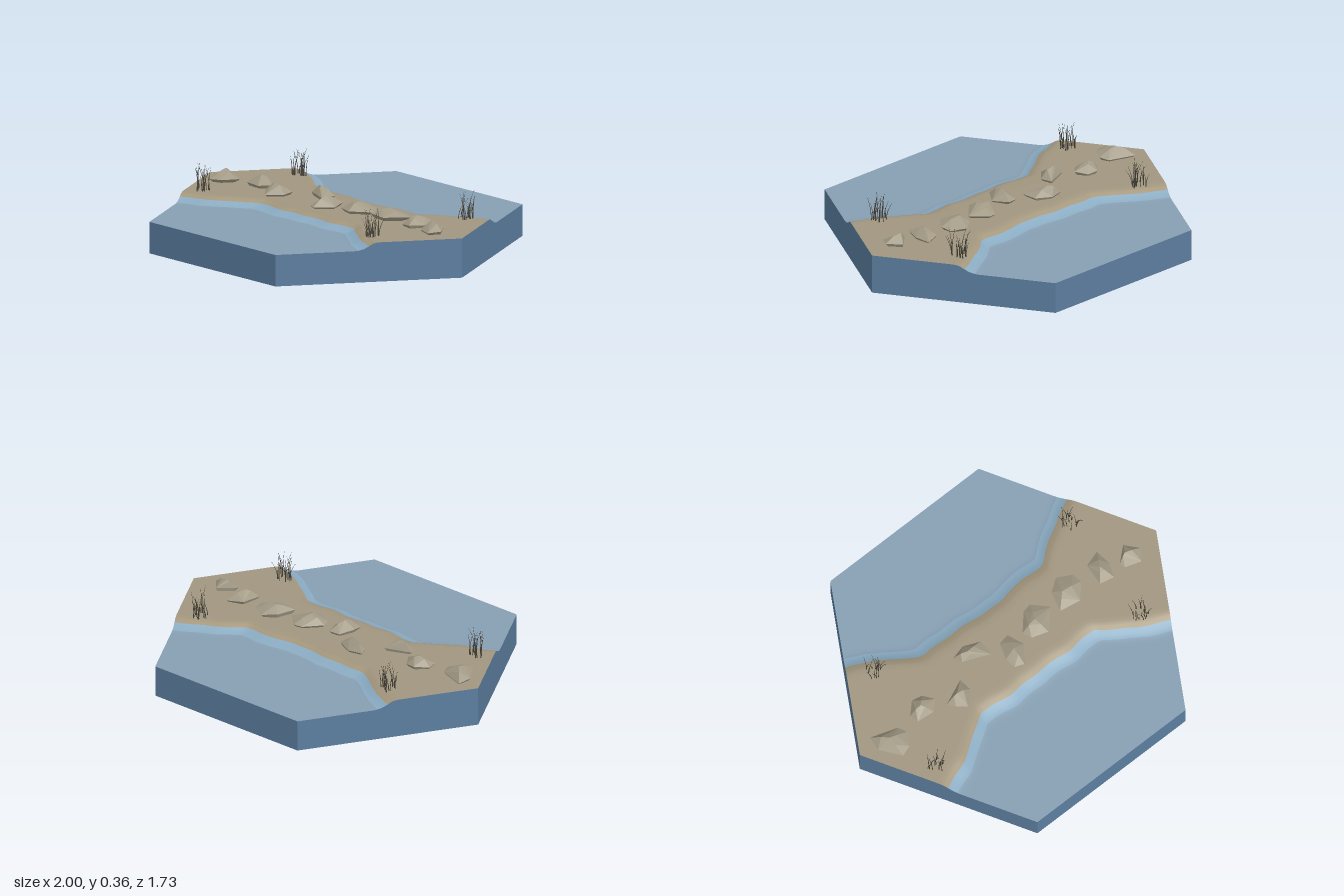
import * as THREE from 'three';
import { mergeGeometries } from 'three/addons/utils/BufferGeometryUtils.js';
import { ConvexGeometry } from 'three/addons/geometries/ConvexGeometry.js';

const material = (name, color, side = THREE.FrontSide) => {
  const m = new THREE.MeshStandardMaterial({ color, side });
  m.name = name;
  return m;
};
const SQ3 = Math.sqrt(3), LAND = 0.212, WATER = 0.17, COLS = 56;

function seeded(seed) {
  return () => {
    seed = (seed * 16807) % 2147483647;
    return seed / 2147483647;
  };
}

// Shoreline distance from the middle of the tile, as [x, z] points
const shores = {
  '-1': [[-0.95, 0.52], [-0.75, 0.43], [-0.62, 0.38], [-0.5, 0.29], [-0.39, 0.23], [-0.2, 0.23], [0, 0.215],
    [0.1, 0.205], [0.2, 0.23], [0.42, 0.23], [0.55, 0.33], [0.74, 0.43], [0.95, 0.54]],
  '1': [[-0.95, 0.52], [-0.75, 0.43], [-0.6, 0.37], [-0.5, 0.31], [-0.36, 0.21], [-0.15, 0.23], [0.05, 0.22],
    [0.22, 0.23], [0.4, 0.22], [0.5, 0.3], [0.6, 0.36], [0.74, 0.43], [0.95, 0.53]],
};
function shore(side, x) {
  const pts = shores[side];
  let i = 0;
  while (i < pts.length - 2 && x > pts[i + 1][0]) i++;
  const [x0, z0] = pts[i], [x1, z1] = pts[i + 1];
  return z0 + (z1 - z0) * (x - x0) / (x1 - x0) + 0.004 * Math.sin(x * 31 + side);
}

// Where a row of the terrain meets the slanted hexagon edge
function rowEnd(depth, dir) {
  let lo = 0.5, hi = 1;
  for (let k = 0; k < 40; k++) {
    const mid = (lo + hi) / 2;
    if (depth(mid * dir) < (1 - mid) * SQ3) lo = mid; else hi = mid;
  }
  return lo * dir;
}

function createTerrain(mats) {
  // Slope profile: offset from the shoreline, height, material of the strip outside it
  const profile = [[-0.08, LAND, 0], [-0.05, LAND - 0.001, 0], [-0.025, 0.206, 1], [0, 0.193, 2],
    [0.03, 0.179, 2], [0.06, 0.172, 3], [0.085, WATER, 3], [0.11, WATER, 3]];
  const half = (s) => [
    ...profile.map(([d, y, mat]) => ({ s, y, mat, depth: (x) => shore(s, x) + d })),
    { s, y: WATER, mat: 3, depth: () => SQ3 / 2 },
  ];
  const rows = [...half(-1).reverse(), { s: 1, y: LAND, mat: 0, depth: () => 0 }, ...half(1)];

  // Top surface with one group per strip
  const pos = [], index = [], left = [], right = [];
  const geo = new THREE.BufferGeometry();
  rows.forEach((row, r) => {
    const a = rowEnd(row.depth, -1), b = rowEnd(row.depth, 1);
    for (let i = 0; i <= COLS; i++) {
      const x = a + (b - a) * i / COLS;
      pos.push(x, row.y, row.s * row.depth(x));
    }
    left.push([a, row.y, row.s * row.depth(a)]);
    right.push([b, row.y, row.s * row.depth(b)]);
    if (r === rows.length - 1) return;
    const start = index.length;
    for (let i = 0; i < COLS; i++) {
      const p = r * (COLS + 1) + i, q = p + COLS + 1;
      index.push(p, q, p + 1, p + 1, q, q + 1);
    }
    const inner = row.s < 0 && row.y <= LAND && r < profile.length + 1 ? rows[r + 1] : row;
    geo.addGroup(start, index.length - start, inner.mat);
  });
  geo.setAttribute('position', new THREE.Float32BufferAttribute(pos, 3));
  geo.setIndex(index);
  geo.computeVertexNormals();
  const top = new THREE.Mesh(geo, mats);
  top.name = 'terrainTop';

  // Side walls follow the ends of the rows down to the ground
  const loop = [...left, ...right.reverse()], wall = [];
  loop.forEach((p, i) => {
    const q = loop[(i + 1) % loop.length];
    const p0 = [p[0], 0, p[2]], q0 = [q[0], 0, q[2]];
    wall.push(...p0, ...q0, ...q, ...p0, ...q, ...p);
  });
  const wallGeo = new THREE.BufferGeometry();
  wallGeo.setAttribute('position', new THREE.Float32BufferAttribute(wall, 3));
  wallGeo.computeVertexNormals();
  return { top, wallGeo };
}

// Faceted boulder from its outline (hundredths of a unit) and a peak
function rockGeometry([px, pz, height, ...outline], rand) {
  const pts = [];
  for (let i = 0; i < outline.length; i += 2) {
    const x = outline[i] / 100, z = outline[i + 1] / 100, cx = px / 100, cz = pz / 100;
    const at = (f, y) => pts.push(new THREE.Vector3(cx + (x - cx) * f, y, cz + (z - cz) * f));
    at(1, LAND + 0.008 + rand() * 0.014);
    at(0.8, LAND - 0.006);
    if (i % 4 === 0) at(0.3 + rand() * 0.2, LAND + height * (0.75 + rand() * 0.15));
  }
  pts.push(new THREE.Vector3(px / 100, LAND + height, pz / 100));
  return new ConvexGeometry(pts);
}

// Tuft of thin, bent blades
function tuftGeometry(rand) {
  const blades = [];
  for (let i = 0; i < 18; i++) {
    const h = 0.07 + rand() * 0.085, angle = rand() * Math.PI * 2;
    const radius = 0.045 * Math.sqrt(rand()), lean = 0.01 + rand() * 0.03;
    const blade = new THREE.CylinderGeometry(0.0006, 0.003, h, 3, 4, true).translate(0, h / 2, 0);
    const p = blade.attributes.position;
    for (let k = 0; k < p.count; k++) {
      const bend = lean * (p.getY(k) / h) ** 2;
      p.setX(k, p.getX(k) + Math.cos(angle) * bend);
      p.setZ(k, p.getZ(k) + Math.sin(angle) * bend);
    }
    blade.computeVertexNormals();
    const spot = rand() * Math.PI * 2;
    blades.push(blade.translate(Math.cos(spot) * radius, -0.003, Math.sin(spot) * radius));
  }
  return mergeGeometries(blades);
}

export function createModel() {
  const model = new THREE.Group();
  model.name = 'hexCausewayTile';
  const sand = material('sand', 0xa1967f), wetSand = material('wetSand', 0xa6987c);
  const shallows = material('shallows', 0x8bacc3), water = material('water', 0x879fb3);
  const wallBlue = material('wallBlue', 0x5c7e9f), underside = material('underside', 0x7b919d);
  const stone = material('stone', 0xa39b87), grass = material('grass', 0x48443a, THREE.DoubleSide);
  const add = (name, geo, mat, parent = model) => {
    const mesh = new THREE.Mesh(geo, mat);
    mesh.name = name;
    parent.add(mesh);
    return mesh;
  };

  // Hexagonal base
  const { top, wallGeo } = createTerrain([sand, wetSand, shallows, water]);
  model.add(top);
  add('sideWalls', wallGeo, wallBlue);
  add('bottom', new THREE.CircleGeometry(1, 6).rotateX(Math.PI / 2), underside);

  // Row of stepping stones: peak x, peak z, height, then outline x, z pairs
  const rocks = new THREE.Group();
  rocks.name = 'rocks';
  model.add(rocks);
  const rand = seeded(4217);
  [
    [-83, 4, 0.06, -90, -4, -75, 1, -73, 6, -77, 13, -83, 15, -91, 4],
    [-59, 0, 0.06, -66, 0, -60, -6, -54, -5, -50, 1, -55, 6, -65, 5],
    [-40, 7, 0.065, -47, 7, -33, 1, -32, 8, -39, 15, -44, 11],
    [-21, -8, 0.058, -28, -11, -20, -13, -11, -9, -11, 0, -18, -3, -26, -6],
    [-1, 6, 0.06, -7, 7, -4, -2, 2, -3, 6, 6, -1, 15, -6, 13],
    [18, 0, 0.055, 9, 1, 17, -8, 22, -9, 30, -1, 20, 9, 11, 6],
    [39, -3, 0.055, 32, 4, 35, -7, 42, -12, 50, -8, 51, -2, 44, 6],
    [63, -1, 0.058, 58, 5, 59, -7, 68, -10, 69, -1, 66, 7],
    [78, 1, 0.06, 73, 3, 81, -4, 87, 3, 83, 9, 74, 6],
  ].forEach((r) => add('rock', rockGeometry(r, rand), stone, rocks));

  // Grass tufts near the four corners of the land
  const tufts = new THREE.Group();
  tufts.name = 'grassTufts';
  model.add(tufts);
  [[-0.65, -0.32], [0.67, -0.32], [-0.73, 0.3], [0.64, 0.32]].forEach(([x, z]) => {
    add('grassTuft', tuftGeometry(rand), grass, tufts).position.set(x, LAND, z);
  });
  return model;
}
